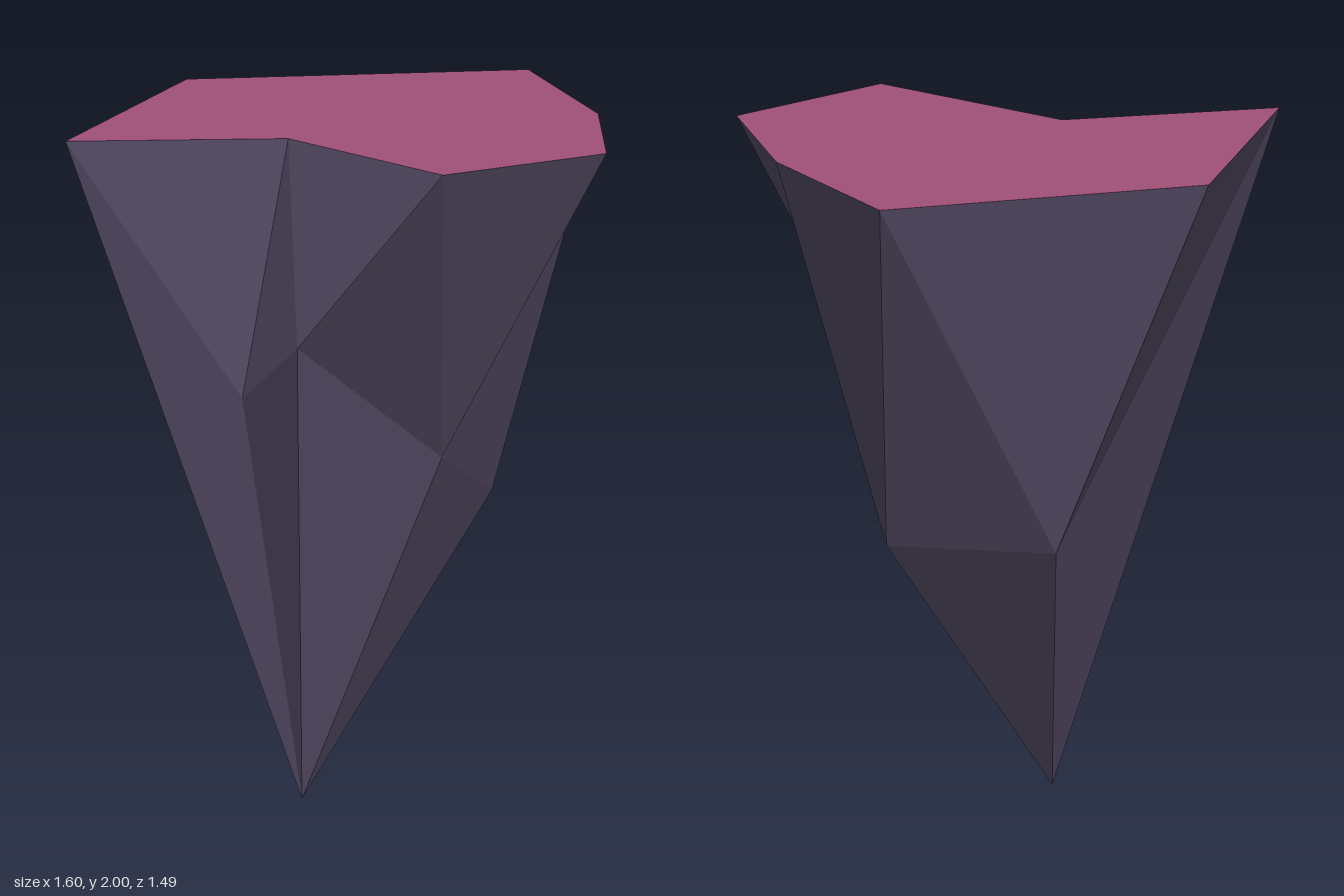
import * as THREE from 'three';

// Rim corners at the flat cut, listed around the outline
const rim = {
  A: [-0.8, 2, 0.36], B: [-0.515, 2, -0.53], C: [0.475, 2, -0.745], D: [0.73, 2, -0.15],
  E: [0.8, 2, 0.4], F: [0.345, 2, 0.74], G: [-0.15, 2, 0.27],
};

// Mid-height corners (lower case, below the matching rim corner) and the tip p
const lower = {
  c: [-0.08, 0.84, -0.34], d: [0.41, 0.845, -0.22], e: [0.3, 1.04, 0.23],
  f: [-0.1, 1.43, 0.555], g: [-0.28, 1.23, 0.337], p: [-0.115, 0, 0.2],
};
const corners = { ...rim, ...lower };

// Flat-shaded surface from triangles spelled by corner letters
function facets(name, triangles, material) {
  const points = triangles.flatMap((t) => [...t].flatMap((k) => corners[k]));
  const geometry = new THREE.BufferGeometry();
  geometry.setAttribute('position', new THREE.Float32BufferAttribute(points, 3));
  geometry.computeVertexNormals();
  const mesh = new THREE.Mesh(geometry, material);
  mesh.name = name;
  return mesh;
}

export function createModel() {
  const rock = new THREE.MeshStandardMaterial({ name: 'dark purple rock', color: 0x544b65, flatShading: true });
  const cut = new THREE.MeshStandardMaterial({ name: 'magenta surface', color: 0xa05177, flatShading: true });

  const group = new THREE.Group();
  group.name = 'rockShard';

  // Faceted sides tapering to the tip
  group.add(facets('rockSides', [
    'ABc', 'Acp', 'BCc', 'Cdc', 'cdp', // back
    'CDd', 'DEe', 'Ded', 'dep', // left
    'EFe', 'Ffe', 'efp', // front left
    'FGf', 'Ggf', 'fgp', 'GAg', 'gAp', // front notch
  ], rock));

  // Flat top, fanned from the notch corner
  const ring = Object.keys(rim);
  const fan = ring.slice(1, -1).map((k, i) => 'G' + k + ring[i]);
  group.add(facets('topSurface', fan, cut));

  return group;
}
